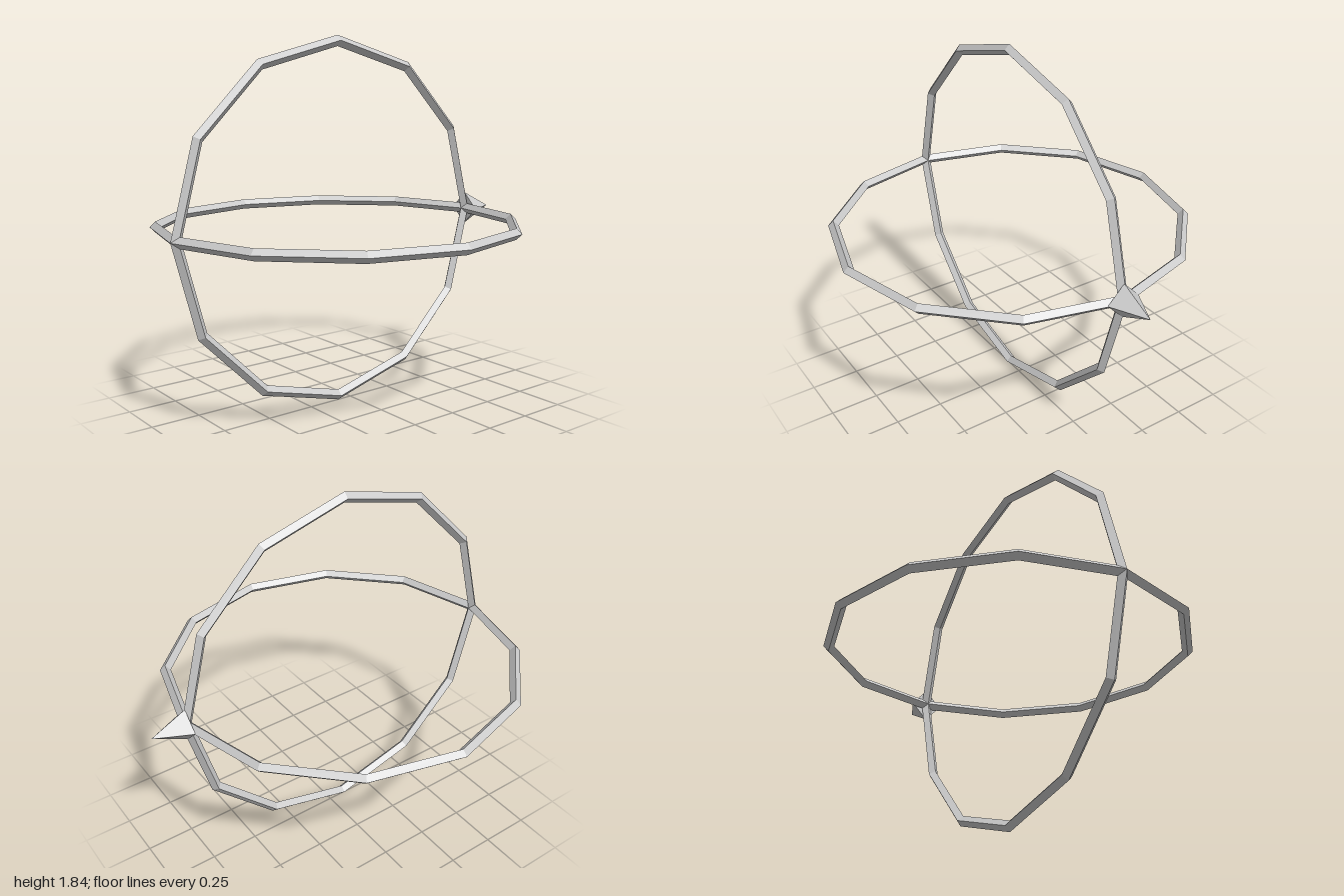
import * as THREE from 'three';

export function createModel() {
  const group = new THREE.Group();
  const material = new THREE.MeshStandardMaterial({ color: 0xcccccc, flatShading: true });
  const ringRadius = 0.895, tube = 0.027;
  const centre = new THREE.Vector3(-0.078, ringRadius + tube, 0);

  const add = (name, geometry) => {
    const mesh = new THREE.Mesh(geometry, material);
    mesh.name = name;
    mesh.position.copy(centre);
    group.add(mesh);
    return mesh;
  };

  // Two crossed twelve-sided rings with a diamond cross-section
  const ring = new THREE.TorusGeometry(ringRadius, tube, 4, 12);
  add('uprightRing', ring);
  add('levelRing', ring).rotation.x = Math.PI / 2;

  // Four-sided pointer where the rings meet, aimed along +x
  const length = 0.18;
  const pointer = add('pointer', new THREE.ConeGeometry(0.087, length, 4));
  pointer.rotation.z = -Math.PI / 2;
  pointer.position.x += ringRadius + length / 2;

  return group;
}
